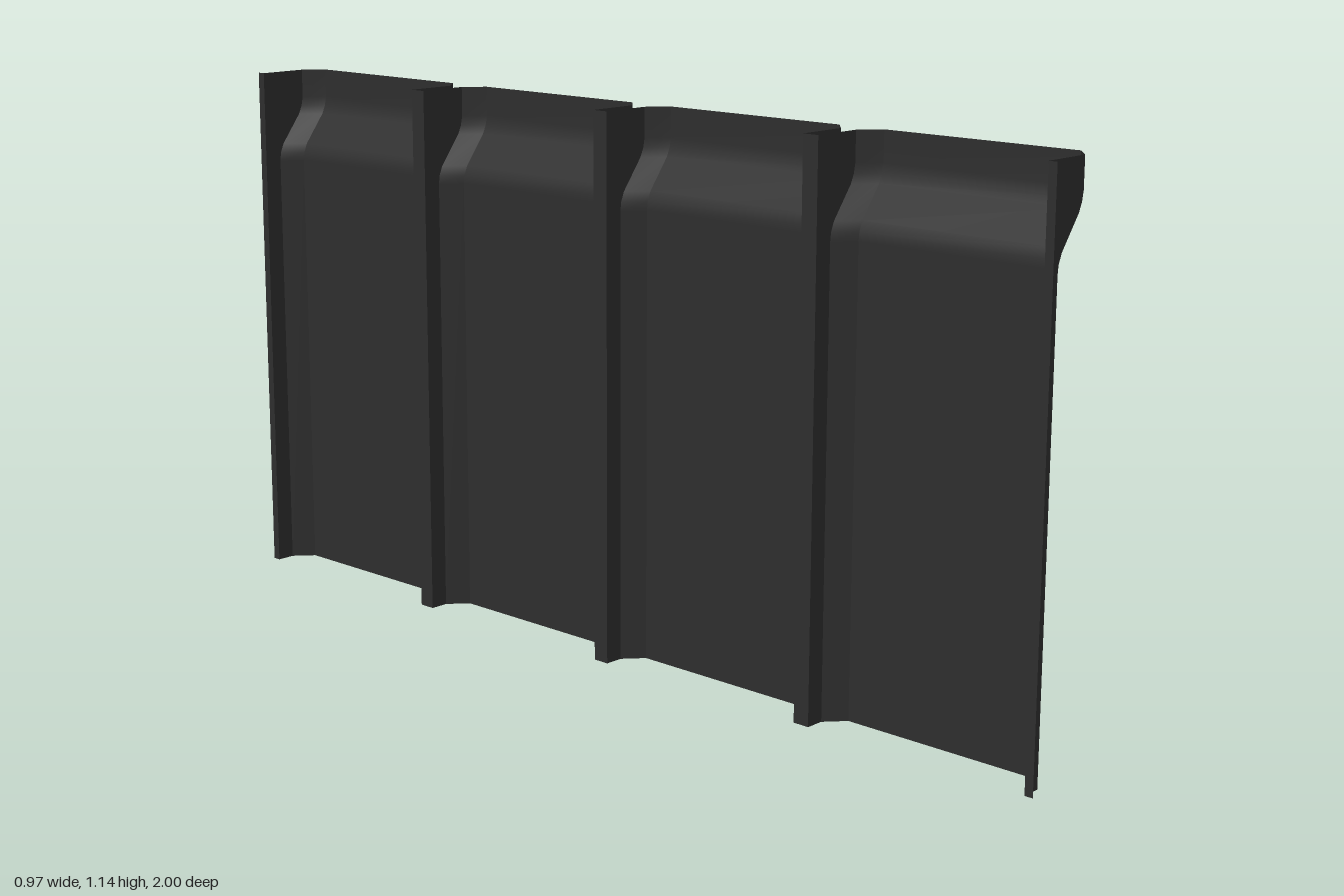
import * as THREE from 'three';

const PITCH = 0.5365; // distance between neighbouring panels

// Plan section of one panel: [along the wall, outward depth, follows the top bend]
const SECTION = [
  [0, 0, 0], [0.018, 0, 0],
  [0.018, 0.04, 1], [0.053, 0.08, 1],
  [PITCH - 0.053, 0.08, 1], [PITCH - 0.018, 0.04, 1],
  [PITCH - 0.018, 0, 0], [PITCH, 0, 0],
];

// Height profile of the outward bend: [height, offset]
const BEND = [[0, 0], [0.94, 0], [0.958, 0.002], [0.978, 0.01], [1.042, 0.058], [1.06, 0.066], [1.08, 0.07], [1.142, 0.07]];

const FACES = ['backJoint', 'backFlange', 'backBevel', 'mainSheet', 'frontBevel', 'frontFlange', 'frontJoint'];

// One folded face, smooth up the bend and sharp at the vertical folds
function faceStrip(a, b) {
  const positions = [];
  const index = [];
  BEND.forEach(([y, offset], i) => {
    for (const [x, depth, bends] of [a, b]) positions.push(x, y, -depth - bends * offset);
    if (i > 0) {
      const k = 2 * i;
      index.push(k - 2, k - 1, k + 1, k - 2, k + 1, k);
    }
  });
  const geometry = new THREE.BufferGeometry();
  geometry.setAttribute('position', new THREE.Float32BufferAttribute(positions, 3));
  geometry.setIndex(index);
  geometry.computeVertexNormals();
  return geometry;
}

export function createModel() {
  const model = new THREE.Group();
  model.name = 'foldedPanelWall';
  const metal = new THREE.MeshStandardMaterial({ color: 0x2e2e2e, side: THREE.DoubleSide });
  metal.name = 'darkMetal';

  // Straight run of four identical folded panels
  const wall = new THREE.Group();
  wall.name = 'panelRun';
  const strips = FACES.map((_, i) => faceStrip(SECTION[i], SECTION[i + 1]));
  for (let p = 0; p < 4; p++) {
    const panel = new THREE.Group();
    panel.name = 'panel' + (p + 1);
    panel.position.x = (p - 2) * PITCH;
    strips.forEach((geometry, i) => {
      const mesh = new THREE.Mesh(geometry, metal);
      mesh.name = FACES[i];
      panel.add(mesh);
    });
    wall.add(panel);
  }

  // The run stands diagonally across the base
  wall.rotation.y = -1.163;
  wall.position.set(-0.061, 0, 0.013);
  model.add(wall);
  return model;
}
